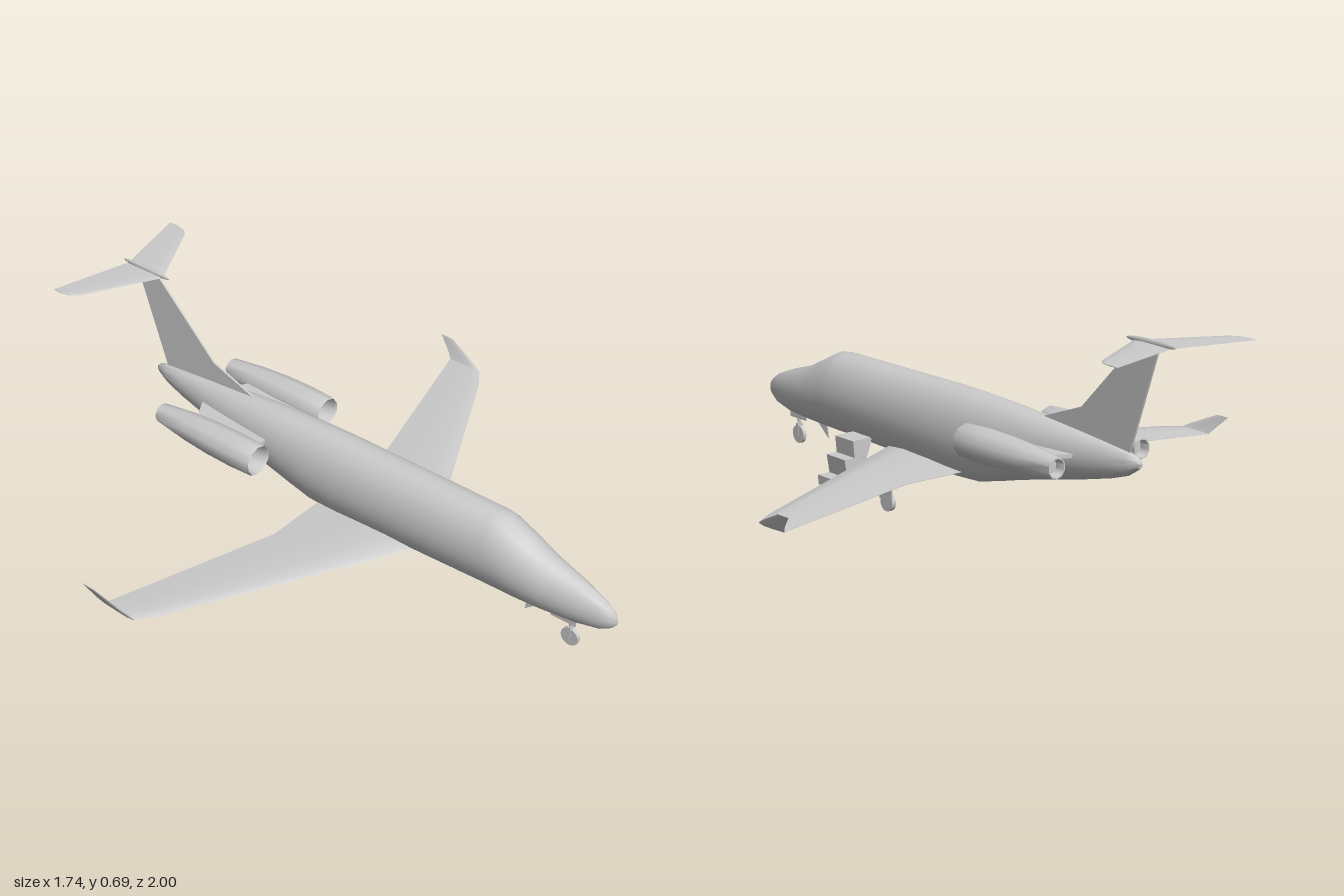
import * as THREE from 'three';
import { toCreasedNormals } from 'three/addons/utils/BufferGeometryUtils.js';

const grey = new THREE.MeshStandardMaterial({ color: 0xcccccc, side: THREE.DoubleSide });

function add(parent, name, geometry, x = 0, y = 0, z = 0) {
  const mesh = new THREE.Mesh(geometry, grey);
  mesh.name = name;
  mesh.position.set(x, y, z);
  parent.add(mesh);
  return mesh;
}

// Skin a list of closed cross-sections (arrays of Vector3) and cap both ends.
function loft(rings, crease = 0.6) {
  const n = rings[0].length, last = rings.length - 1;
  const points = rings.flat(), index = [];
  for (let i = 0; i < last; i++) {
    for (let j = 0; j < n; j++) {
      const a = i * n + j, b = i * n + (j + 1) % n;
      index.push(a, b, a + n, b, b + n, a + n);
    }
  }
  for (const end of [0, last]) {
    const centre = new THREE.Vector3();
    rings[end].forEach((p) => centre.addScaledVector(p, 1 / n));
    points.push(centre);
    for (let j = 0; j < n; j++) {
      const a = end * n + j, b = end * n + (j + 1) % n, c = points.length - 1;
      index.push(...(end ? [a, b, c] : [b, a, c]));
    }
  }
  // Turn the faces outward if the enclosed volume is negative.
  let volume = 0;
  const cross = new THREE.Vector3();
  for (let k = 0; k < index.length; k += 3) {
    volume += points[index[k]].dot(cross.crossVectors(points[index[k + 1]], points[index[k + 2]]));
  }
  if (volume < 0) index.reverse();
  const geometry = new THREE.BufferGeometry().setFromPoints(points);
  geometry.setIndex(index);
  return toCreasedNormals(geometry, crease);
}

// Aerofoil surface from tip to tip; half stations are [x, y, zLead, zTrail, thickness, tilt].
function aerofoil(half) {
  const section = [[0, 0], [0.04, 0.5], [0.25, 1], [0.6, 0.7], [1, 0.06],
    [1, -0.06], [0.6, -0.7], [0.25, -1], [0.04, -0.5]];
  const ring = (side) => ([x, y, lead, trail, thick, tilt = 0]) => section.map(([s, t]) => new THREE.Vector3(
    side * (x - Math.sin(tilt) * t * thick / 2),
    y + Math.cos(tilt) * t * thick / 2,
    lead + (trail - lead) * s));
  return loft([...half.slice(1).reverse().map(ring(-1)), ...half.map(ring(1))]);
}

// Flat plate from an outline, extruded about its own plane.
function plate(outline, depth) {
  const shape = new THREE.Shape(outline.map(([x, y]) => new THREE.Vector2(x, y)));
  return new THREE.ExtrudeGeometry(shape, { depth, bevelEnabled: false }).translate(0, 0, -depth / 2);
}
const sidePlate = (outline, depth) => plate(outline, depth).rotateY(-Math.PI / 2); // outline in (z, y)

function wheel(radius, width) {
  return new THREE.CylinderGeometry(radius, radius, width, 16).rotateZ(Math.PI / 2);
}

export function createModel() {
  const jet = new THREE.Group();
  jet.name = 'businessJet';

  // Fuselage stations: z, top, bottom, half width
  const stations = [
    [1, 0.212, 0.192, 0.006], [0.985, 0.235, 0.175, 0.018], [0.95, 0.258, 0.155, 0.03],
    [0.87, 0.288, 0.14, 0.05], [0.76, 0.32, 0.135, 0.071], [0.68, 0.357, 0.132, 0.083],
    [0.6, 0.395, 0.13, 0.089], [0.56, 0.4, 0.13, 0.091], [0.35, 0.4, 0.124, 0.094],
    [0.1, 0.4, 0.115, 0.094], [-0.02, 0.4, 0.11, 0.094], [-0.13, 0.397, 0.115, 0.091],
    [-0.22, 0.393, 0.137, 0.086], [-0.32, 0.388, 0.163, 0.079], [-0.45, 0.377, 0.193, 0.066],
    [-0.58, 0.366, 0.222, 0.05], [-0.7, 0.354, 0.252, 0.033], [-0.77, 0.347, 0.275, 0.022],
    [-0.81, 0.335, 0.3, 0.012], [-0.82, 0.325, 0.31, 0.006],
  ];
  add(jet, 'fuselage', loft(stations.map(([z, top, bottom, w]) =>
    Array.from({ length: 28 }, (_, j) => {
      const a = j / 28 * Math.PI * 2;
      return new THREE.Vector3(Math.sin(a) * w, (top + bottom) / 2 + Math.cos(a) * (top - bottom) / 2, z);
    })), 1));

  // Swept wing with upturned winglets
  add(jet, 'wing', aerofoil([
    [0, 0.146, 0.315, -0.09, 0.036], [0.09, 0.147, 0.268, -0.09, 0.034],
    [0.27, 0.147, 0.175, -0.09, 0.026], [0.78, 0.15, -0.09, -0.241, 0.012],
    [0.843, 0.15, -0.135, -0.26, 0.009, 0.5], [0.853, 0.168, -0.17, -0.275, 0.006, 1.2],
    [0.87, 0.212, -0.27, -0.32, 0.004, 1.2],
  ]));

  // T-tail
  add(jet, 'tailFin', sidePlate([[-0.38, 0.37], [-0.57, 0.44], [-0.8, 0.675],
    [-0.887, 0.675], [-0.77, 0.33]], 0.007));
  add(jet, 'tailplane', aerofoil([
    [0, 0.674, -0.78, -0.93, 0.008], [0.243, 0.674, -0.91, -0.993, 0.005],
    [0.26, 0.674, -0.93, -0.998, 0.004], [0.268, 0.674, -0.96, -1, 0.003],
  ]));
  add(jet, 'tailBullet', new THREE.SphereGeometry(1, 12, 8).scale(0.007, 0.011, 0.1), 0, 0.679, -0.85);

  // Engines with hollow intakes and exhausts, carried on pylons
  const nacelle = [[0, -0.62], [0.024, -0.62], [0.028, -0.65], [0.032, -0.65], [0.047, -0.53], [0.054, -0.43],
    [0.056, -0.33], [0.053, -0.25], [0.05, -0.24], [0.046, -0.25], [0.042, -0.3], [0, -0.3]];
  for (const side of [-1, 1]) {
    const engine = new THREE.Group();
    engine.name = side > 0 ? 'leftEngine' : 'rightEngine';
    const shell = new THREE.LatheGeometry(nacelle.map(([r, z]) => new THREE.Vector2(r, z)), 10);
    add(engine, 'nacelle', toCreasedNormals(shell.rotateX(Math.PI / 2), 0.8), side * 0.167, 0.3, 0);
    add(engine, 'intakeSpinner', new THREE.ConeGeometry(0.014, 0.035, 10).rotateX(Math.PI / 2), side * 0.167, 0.3, -0.283);
    const pylon = plate([[0.03, 0.29], [0.13, 0.29], [0.13, 0.535], [0.03, 0.595]]
      .map(([x, z]) => [side * x, z]), 0.012).rotateX(-Math.PI / 2);
    add(engine, 'pylon', pylon, 0, 0.302, 0);
    jet.add(engine);
  }

  // Nose gear
  const noseGear = new THREE.Group();
  noseGear.name = 'noseGear';
  add(noseGear, 'wheel', wheel(0.031, 0.012), 0, 0.066, 0.843);
  add(noseGear, 'strut', new THREE.CylinderGeometry(0.006, 0.006, 0.06, 10), 0, 0.122, 0.843);
  for (const side of [-1, 1]) {
    add(noseGear, 'fork', new THREE.BoxGeometry(0.003, 0.04, 0.01), side * 0.009, 0.082, 0.843);
    add(noseGear, 'door', new THREE.BoxGeometry(0.003, 0.022, 0.09), side * 0.016, 0.137, 0.825);
  }
  add(noseGear, 'forkCrown', new THREE.BoxGeometry(0.021, 0.006, 0.012), 0, 0.102, 0.843);
  jet.add(noseGear);

  // Main gear lowered under the left wing
  const mainGear = new THREE.Group();
  mainGear.name = 'mainGear';
  add(mainGear, 'wheel', wheel(0.029, 0.016), 0.255, 0.063, 0.024);
  add(mainGear, 'strut', new THREE.CylinderGeometry(0.005, 0.005, 0.08, 10), 0.248, 0.1, 0.024);
  const door = sidePlate([[-0.007, 0.07], [0.055, 0.07], [0.055, 0.14], [-0.007, 0.14]], 0.004);
  add(mainGear, 'door', door, 0.263, 0, 0);
  jet.add(mainGear);

  // Belly aerial
  add(jet, 'bellyAerial', sidePlate([[0.745, 0.14], [0.675, 0.085], [0.685, 0.14]], 0.004));

  // Air stairs folded down on the left, rounded door skin underneath
  add(jet, 'airStairs', plate([[0.06, 0.165], [0.135, 0.163], [0.13, 0.107], [0.17, 0.107],
    [0.16, 0.045], [0.206, 0.045], [0.204, 0.015], [0.188, 0.001], [0.165, 0.006], [0.135, 0.027],
    [0.105, 0.058], [0.083, 0.095], [0.068, 0.135]], 0.096), 0, 0, 0.408);

  return jet;
}
